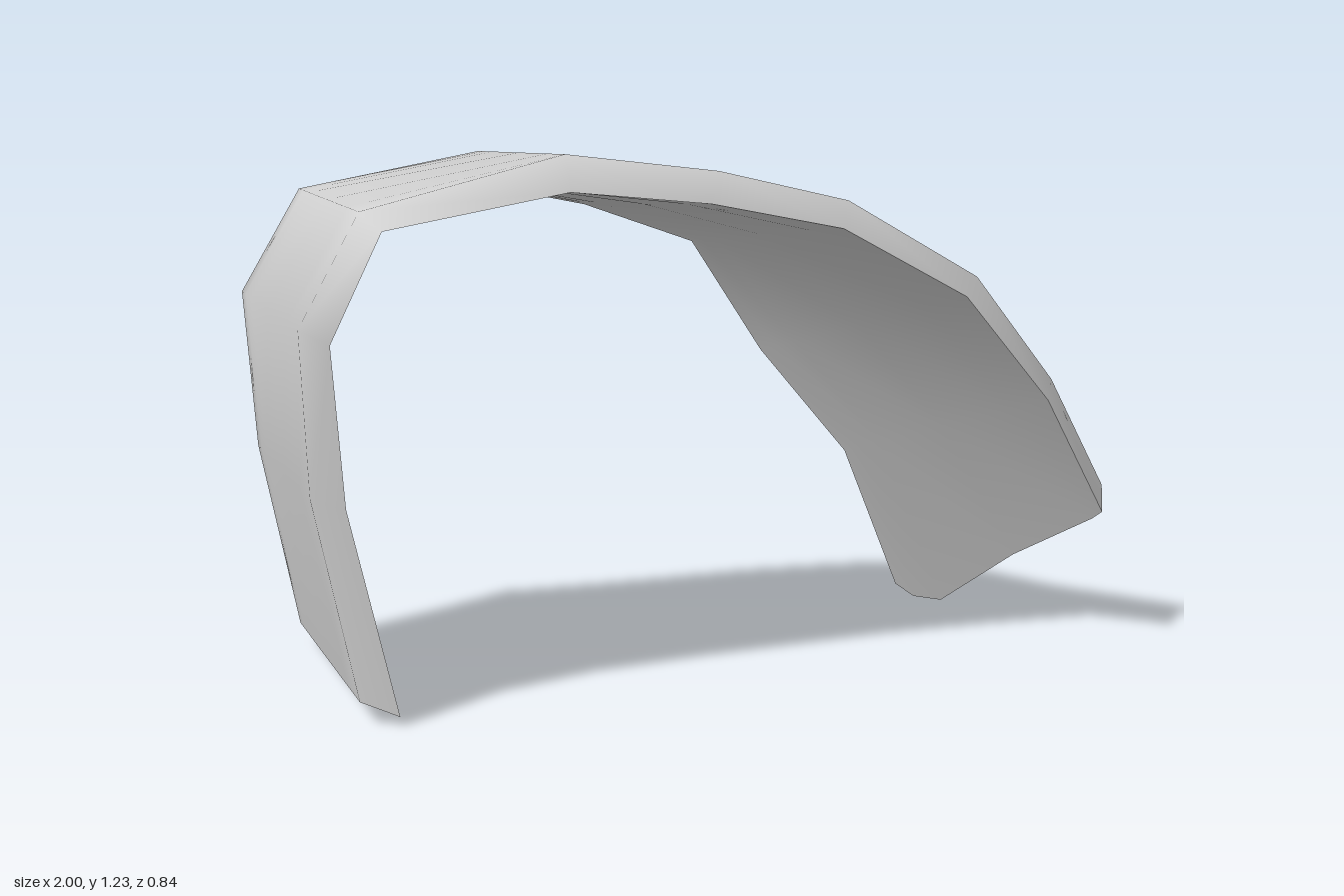
import * as THREE from 'three';

// Stations along the arch, from the foot of the straight leg to the tapered tip.
// Each rim line is a list of [x, y, z].
const frontEdge = [[-0.89, 0.05, 0.37], [-0.98, 0.5, 0.33], [-1, 0.87, 0.35], [-0.87, 1.12, 0.38], [-0.41, 1.23, 0.36],
  [-0.05, 1.185, 0.35], [0.27, 1.11, 0.34], [0.61, 0.92, 0.32], [0.83, 0.66, 0.29], [1, 0.38, 0.25]];
const frontLip = [[-0.81, 0.02, 0.41], [-0.91, 0.48, 0.37], [-0.94, 0.84, 0.39], [-0.83, 1.08, 0.42], [-0.41, 1.15, 0.4],
  [-0.08, 1.115, 0.39], [0.24, 1.05, 0.385], [0.56, 0.88, 0.37], [0.79, 0.62, 0.35], [0.96, 0.33, 0.325]];
const backEdge = [[-0.89, 0.05, -0.34], [-0.98, 0.5, -0.34], [-1, 0.87, -0.39], [-0.87, 1.12, -0.31], [-0.43, 1.2, -0.31],
  [-0.11, 1.13, -0.31], [0.18, 1.03, -0.3], [0.37, 0.74, -0.28], [0.59, 0.47, -0.245], [0.77, 0.08, -0.29]];
const backLip = [[-0.81, 0.02, -0.38], [-0.91, 0.48, -0.38], [-0.94, 0.84, -0.42], [-0.83, 1.08, -0.345], [-0.46, 1.125, -0.345],
  [-0.15, 1.06, -0.345], [0.13, 0.96, -0.33], [0.3, 0.68, -0.28], [0.52, 0.41, -0.24], [0.69, 0.03, -0.28]];

// Points across the band, denser near the rims
const across = [0, 0.18, 0.5, 0.82, 0.92, 1];
const span = (a, b) => across.map((t) => a.map((v, k) => v + (b[k] - v) * t));

// Smooth sheet through a grid of points
function sheet(rows, flip = false) {
  const n = rows[0].length;
  const index = [];
  for (let i = 0; i < rows.length - 1; i++) {
    for (let j = 0; j < n - 1; j++) {
      const a = i * n + j, b = a + n, c = a + 1, d = b + 1;
      if (flip) index.push(a, c, b, b, c, d);
      else index.push(a, b, c, b, d, c);
    }
  }
  const geometry = new THREE.BufferGeometry();
  geometry.setAttribute('position', new THREE.Float32BufferAttribute(rows.flat(2), 3));
  geometry.setIndex(index);
  geometry.computeVertexNormals();
  return geometry;
}

export function createModel() {
  const group = new THREE.Group();
  group.name = 'curvedBand';
  const material = new THREE.MeshStandardMaterial({ color: 0xcccccc });
  const add = (name, geometry) => {
    const mesh = new THREE.Mesh(geometry, material);
    mesh.name = name;
    group.add(mesh);
  };

  const outer = frontEdge.map((p, i) => span(p, backEdge[i]));
  const inner = frontLip.map((p, i) => span(p, backLip[i]));

  // Slanted tip with a rounded back corner
  const last = outer.length - 1;
  outer[last] = [[1, 0.38, 0.25], [0.975, 0.345, 0.19], [0.885, 0.22, -0.02],
    [0.83, 0.1, -0.19], [0.82, 0.08, -0.24], [0.77, 0.08, -0.29]];
  inner[last] = [[0.96, 0.33, 0.325], [0.955, 0.305, 0.285], [0.865, 0.17, 0.05],
    [0.78, 0, -0.19], [0.73, 0, -0.25], [0.69, 0.03, -0.28]];

  // Outside skin wraps over both bevelled rims and the tip
  const shell = outer.map((row, i) => [frontLip[i], ...row, backLip[i]]);
  shell.push([frontLip[last], ...inner[last], backLip[last]]);
  add('outerShell', sheet(shell));
  add('innerLining', sheet(inner, true));

  // Flat sole of the straight leg
  add('legEnd', sheet([[frontLip[0], ...inner[0], backLip[0]], shell[0]]));
  return group;
}
